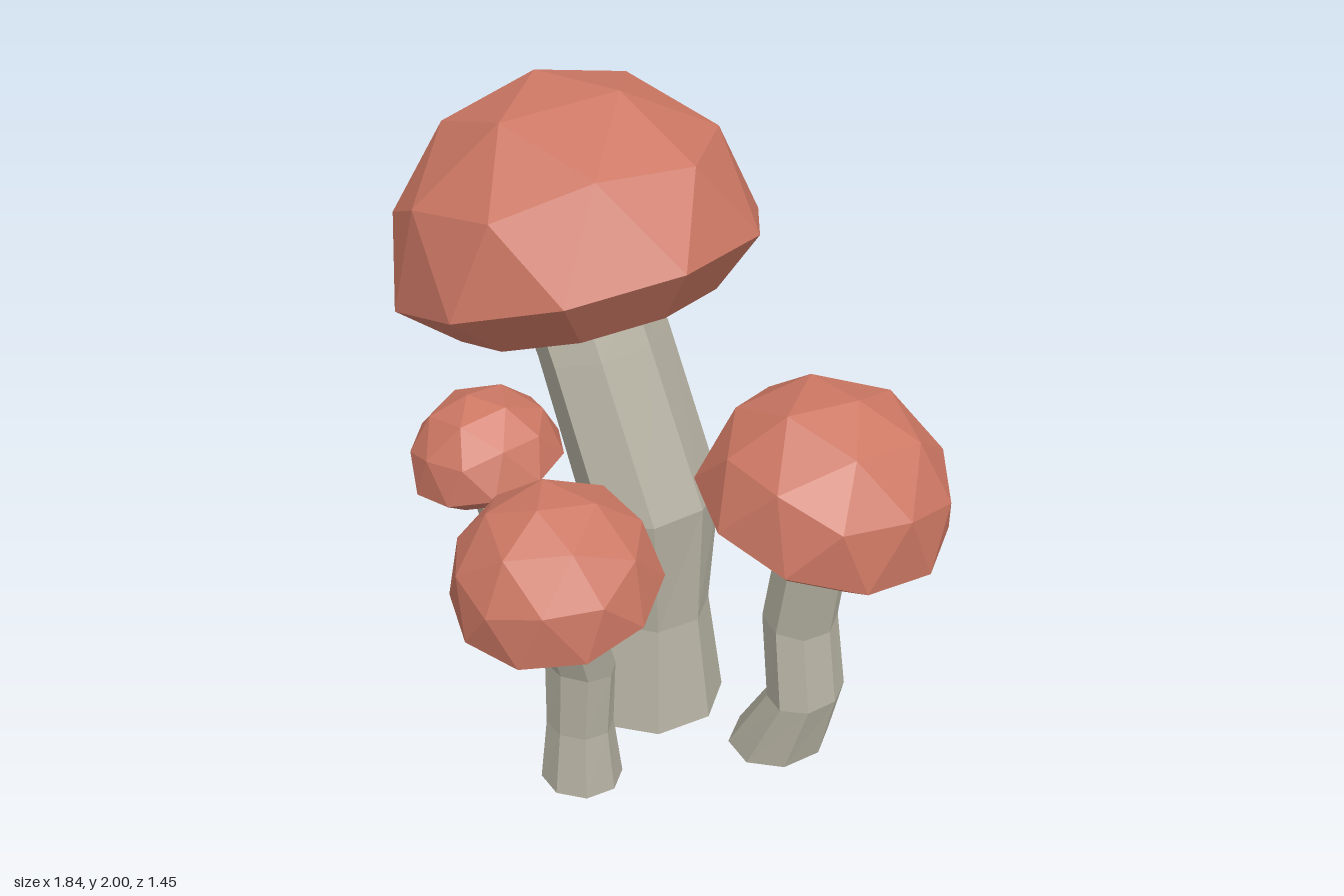
import * as THREE from 'three';
import { mergeGeometries } from 'three/addons/utils/BufferGeometryUtils.js';

// Faceted geometry with one normal per face
function faceted(geometry) {
  const g = geometry.index ? geometry.toNonIndexed() : geometry;
  g.deleteAttribute('uv');
  g.computeVertexNormals();
  return g;
}

// Unit cap: upper half of a faceted sphere, a sloping rim and a flat underside
function capGeometry() {
  const ball = new THREE.IcosahedronGeometry(1, 1);
  ball.rotateZ(-Math.atan(2 / (1 + Math.sqrt(5))));
  const p = ball.attributes.position.array;
  const kept = [];
  for (let i = 0; i < p.length; i += 9) {
    if (p[i + 1] + p[i + 4] + p[i + 7] > 0.01) kept.push(...p.slice(i, i + 9));
  }
  const dome = new THREE.BufferGeometry();
  dome.setAttribute('position', new THREE.Float32BufferAttribute(kept, 3));
  dome.computeVertexNormals();
  const rim = new THREE.CylinderGeometry(1, 0.71, 0.25, 10).translate(0, -0.125, 0);
  return mergeGeometries([dome, faceted(rim)]);
}

// Eight-sided stem through rings of [x, y, z, x radius, z radius, slope along x]
function stemGeometry(rings) {
  const n = rings.length - 1;
  const g = new THREE.CylinderGeometry(1, 1, 1, 8, n);
  const p = g.attributes.position;
  for (let i = 0; i < p.count; i++) {
    const [x, y, z, rx, rz, slope = 0] = rings[Math.round((p.getY(i) + 0.5) * n)];
    const dx = p.getX(i) * rx;
    p.setXYZ(i, x + dx, y + dx * slope, z + p.getZ(i) * rz);
  }
  return faceted(g);
}

const mushrooms = [
  {
    name: 'largeMushroom', radius: 0.562, centre: [-0.32, 1.46, -0.155],
    axis: [-0.28, 0.96, 0], turn: 0,
    stem: [
      [-0.06, 0.02, -0.155, 0.24, 0.24],
      [-0.055, 0.37, -0.155, 0.185, 0.185],
      [-0.05, 0.75, -0.155, 0.19, 0.235, 0.1],
      [-0.23, 1.22, -0.155, 0.17, 0.23, 0.2],
      [-0.3, 1.37, -0.155, 0.17, 0.225, 0.29],
    ],
  },
  {
    name: 'leftMushroom', radius: 0.368, centre: [0.565, 0.965, -0.13],
    axis: [0.26, 0.96, 0], turn: 18,
    stem: [
      [0.405, 0.02, -0.215, 0.147, 0.175],
      [0.503, 0.25, -0.2, 0.105, 0.14],
      [0.47, 0.51, -0.2, 0.105, 0.13, -0.2],
      [0.54, 0.92, -0.17, 0.1, 0.12, -0.25],
    ],
  },
  {
    name: 'frontMushroom', radius: 0.305, centre: [0.06, 0.78, 0.43],
    axis: [0.05, 0.95, 0.3], turn: 54,
    stem: [
      [0.025, 0.005, 0.29, 0.125, 0.122],
      [0.025, 0.21, 0.295, 0.105, 0.095],
      [0.035, 0.43, 0.302, 0.115, 0.09],
      [0.045, 0.75, 0.42, 0.12, 0.085],
    ],
  },
  {
    name: 'rightMushroom', radius: 0.255, centre: [-0.675, 0.67, -0.11],
    axis: [-0.16, 0.97, 0.17], turn: 10,
    stem: [
      [-0.47, 0.02, -0.155, 0.1, 0.1],
      [-0.55, 0.2, -0.15, 0.07, 0.08],
      [-0.6, 0.34, -0.14, 0.07, 0.08],
      [-0.67, 0.62, -0.12, 0.085, 0.085, 0.15],
    ],
  },
];

export function createModel() {
  const capMaterial = new THREE.MeshStandardMaterial({ color: 0xcc7763 });
  capMaterial.name = 'cap red';
  const stemMaterial = new THREE.MeshStandardMaterial({ color: 0xb5b1a2 });
  stemMaterial.name = 'stem grey';

  const model = new THREE.Group();
  model.name = 'mushroomCluster';
  const capShape = capGeometry();
  const up = new THREE.Vector3(0, 1, 0);

  for (const m of mushrooms) {
    const group = new THREE.Group();
    group.name = m.name;

    const stem = new THREE.Mesh(stemGeometry(m.stem), stemMaterial);
    stem.name = 'stem';

    // Cap leans along its axis, then turns about it
    const cap = new THREE.Mesh(capShape, capMaterial);
    cap.name = 'cap';
    cap.position.set(...m.centre);
    cap.scale.setScalar(m.radius);
    cap.quaternion.setFromUnitVectors(up, new THREE.Vector3(...m.axis).normalize());
    cap.rotateY(THREE.MathUtils.degToRad(m.turn));

    group.add(stem, cap);
    model.add(group);
  }
  return model;
}
